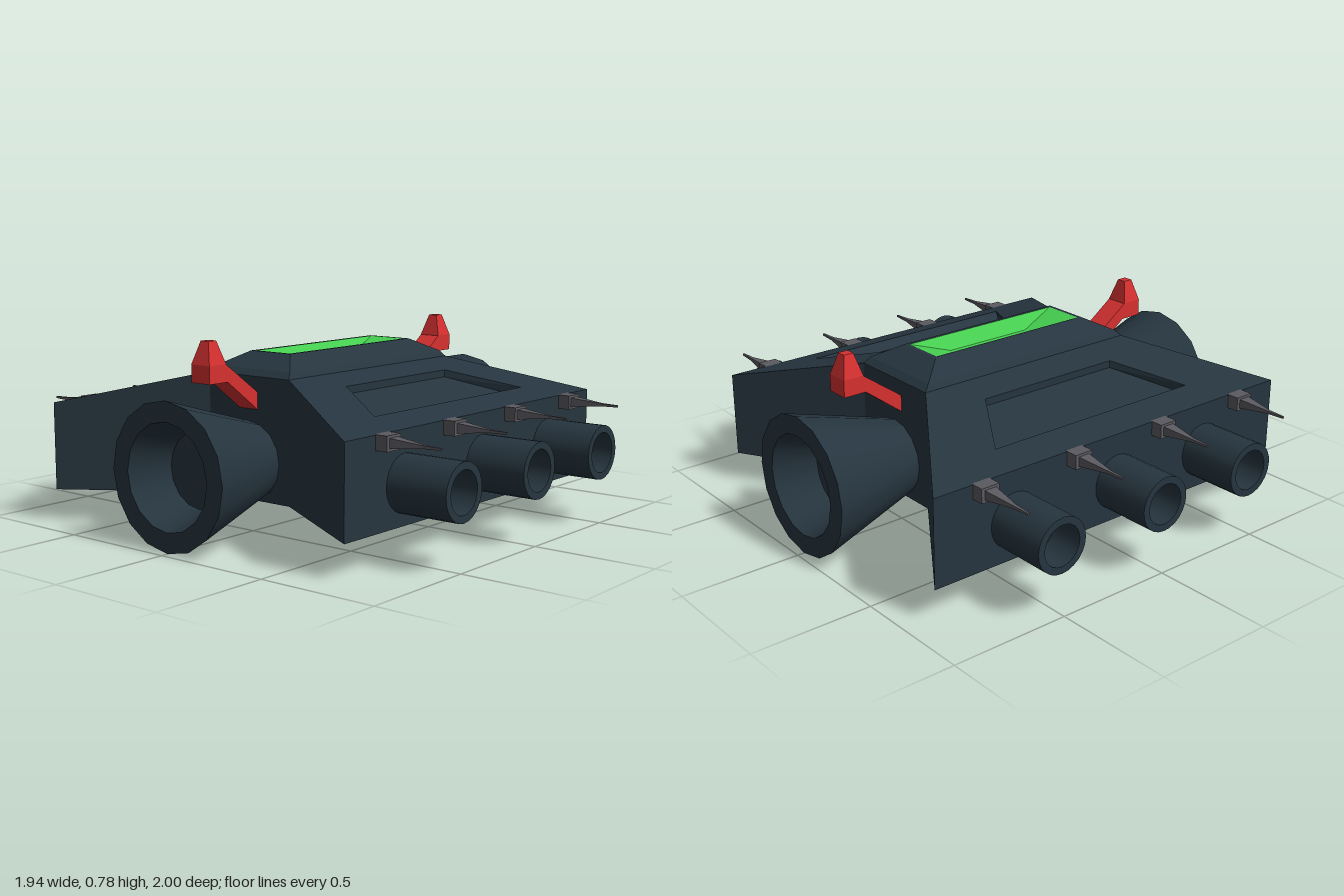
import * as THREE from 'three';
import { mergeGeometries } from 'three/addons/utils/BufferGeometryUtils.js';

const paint = (name, color) => {
  const m = new THREE.MeshStandardMaterial({ color });
  m.name = name;
  return m;
};

// Rectangle or trapezoid ring, counter-clockwise seen from above:
// half width w0 at z0 (y0) and half width w1 at z1 (y1), with z1 > z0
const ring = (w0, y0, z0, w1 = w0, y1 = y0, z1 = -z0) =>
  [[-w1, y1, z1], [w1, y1, z1], [w0, y0, z0], [-w0, y0, z0]];

// Flat-faced skin through four-cornered rings, with optional caps
function loft(rings, capEnd = true, capStart = true) {
  const pos = [];
  const quad = (a, b, c, d) => pos.push(...a, ...b, ...c, ...a, ...c, ...d);
  for (let k = 0; k + 1 < rings.length; k++) {
    const lo = rings[k], hi = rings[k + 1];
    for (let i = 0; i < 4; i++) {
      const j = (i + 1) % 4;
      quad(lo[i], lo[j], hi[j], hi[i]);
    }
  }
  if (capEnd) quad(...rings[rings.length - 1]);
  if (capStart) quad(...[...rings[0]].reverse());
  const g = new THREE.BufferGeometry();
  g.setAttribute('position', new THREE.Float32BufferAttribute(pos, 3));
  g.computeVertexNormals();
  return g;
}

// Round part with smooth sides and sharp edges between profile steps
function turned(profile, sides) {
  const p = profile.map(([r, y]) => new THREE.Vector2(r, y));
  return mergeGeometries(p.slice(1).map((q, i) => new THREE.LatheGeometry([p[i], q], sides)));
}

export function createModel() {
  const hull = paint('hull slate', 0x26353f);
  const red = paint('fin red', 0xd63030);
  const green = paint('window green', 0x46cf50);
  const grey = paint('gun grey', 0x5a5a60);

  const model = new THREE.Group();
  model.name = 'ship';
  const add = (parent, name, geometry, material, x = 0, y = 0, z = 0) => {
    const m = new THREE.Mesh(geometry, material);
    m.name = name;
    m.position.set(x, y, z);
    parent.add(m);
    return m;
  };

  // Central body with bevelled roof and sunken window
  const rim = ring(0.375, 0.715, -0.09);
  add(model, 'centralBody', loft([
    ring(0.52, 0.14, -0.21), ring(0.52, 0.635, -0.21),
    ring(0.495, 0.66, -0.195), ring(0.39, 0.715, -0.105), rim,
  ], false), hull);
  add(model, 'roofWindow', loft([rim, ring(0.2, 0.66, -0.048)], true, false), green);

  // Shared shapes for the guns and barrels, pointing along +z
  const barrel = turned([[0.112, 0.7], [0.112, 1], [0.083, 1], [0.083, 0.86], [0, 0.86]], 24)
    .rotateX(Math.PI / 2);
  const gunMount = new THREE.BoxGeometry(0.08, 0.058, 0.06);
  const gunNeedle = loft([
    ring(0.027, 0.78, -0.02), ring(0.007, 0.92, -0.006), ring(0.004, 0.995, -0.004),
  ]).rotateX(Math.PI / 2);

  // Flared wing with recessed top panel, barrels and guns; turn = -1 faces the back
  const surface = z => 0.635 - (z - 0.21) * 0.135 / 0.53;
  function wing(name, endWidth, barrels, guns, turn) {
    const g = new THREE.Group();
    g.name = name;
    add(g, 'wingHull', loft([
      ring(0.52, 0.14, 0.21, endWidth, 0.14, 0.74),
      ring(0.52, 0.635, 0.21, endWidth, 0.5, 0.74),
      ring(0.33, surface(0.34), 0.34, 0.5, surface(0.61), 0.61),
      ring(0.33, surface(0.34) - 0.03, 0.34, 0.48, surface(0.565) - 0.04, 0.565),
    ]), hull);
    for (const x of barrels) add(g, 'barrel', barrel, hull, x * turn, 0.3, 0);
    for (const x of guns) {
      add(g, 'gunMount', gunMount, grey, x * turn, 0.473, 0.76);
      add(g, 'gunNeedle', gunNeedle, grey, x * turn, 0.473, 0);
    }
    if (turn < 0) g.rotation.y = Math.PI;
    model.add(g);
  }
  wing('frontWing', 0.835, [-0.485, 0.02, 0.505], [-0.62, -0.205, 0.215, 0.635], 1);
  wing('backWing', 0.885, [-0.475, 0, 0.515], [-0.66, -0.22, 0.225, 0.67], -1);

  // Side engines and hooked fins
  const nozzle = turned([[0.138, 0.45], [0.29, 0.97], [0.21, 0.97], [0.15, 0.8], [0, 0.8]], 16)
    .rotateZ(-Math.PI / 2);
  const arm = new THREE.Shape([
    [0.5, 0.56], [0.5, 0.49], [0.685, 0.63], [0.71, 0.63], [0.71, 0.7], [0.695, 0.7],
  ].map(([x, y]) => new THREE.Vector2(x, y)));
  const armGeometry = new THREE.ExtrudeGeometry(arm, { depth: 0.096, bevelEnabled: false })
    .translate(0, 0, -0.048);
  const finTip = loft([
    ring(0.045, 0.63, -0.048), ring(0.045, 0.7, -0.048), ring(0.021, 0.79, -0.02),
  ]);
  for (const [side, angle] of [['left', 0], ['right', Math.PI]]) {
    const g = new THREE.Group();
    g.name = side + 'Side';
    g.rotation.y = angle;
    add(g, 'engineNozzle', nozzle, hull, 0, 0.298, 0);
    add(g, 'finArm', armGeometry, red);
    add(g, 'finTip', finTip, red, 0.738, 0, 0);
    model.add(g);
  }
  return model;
}
